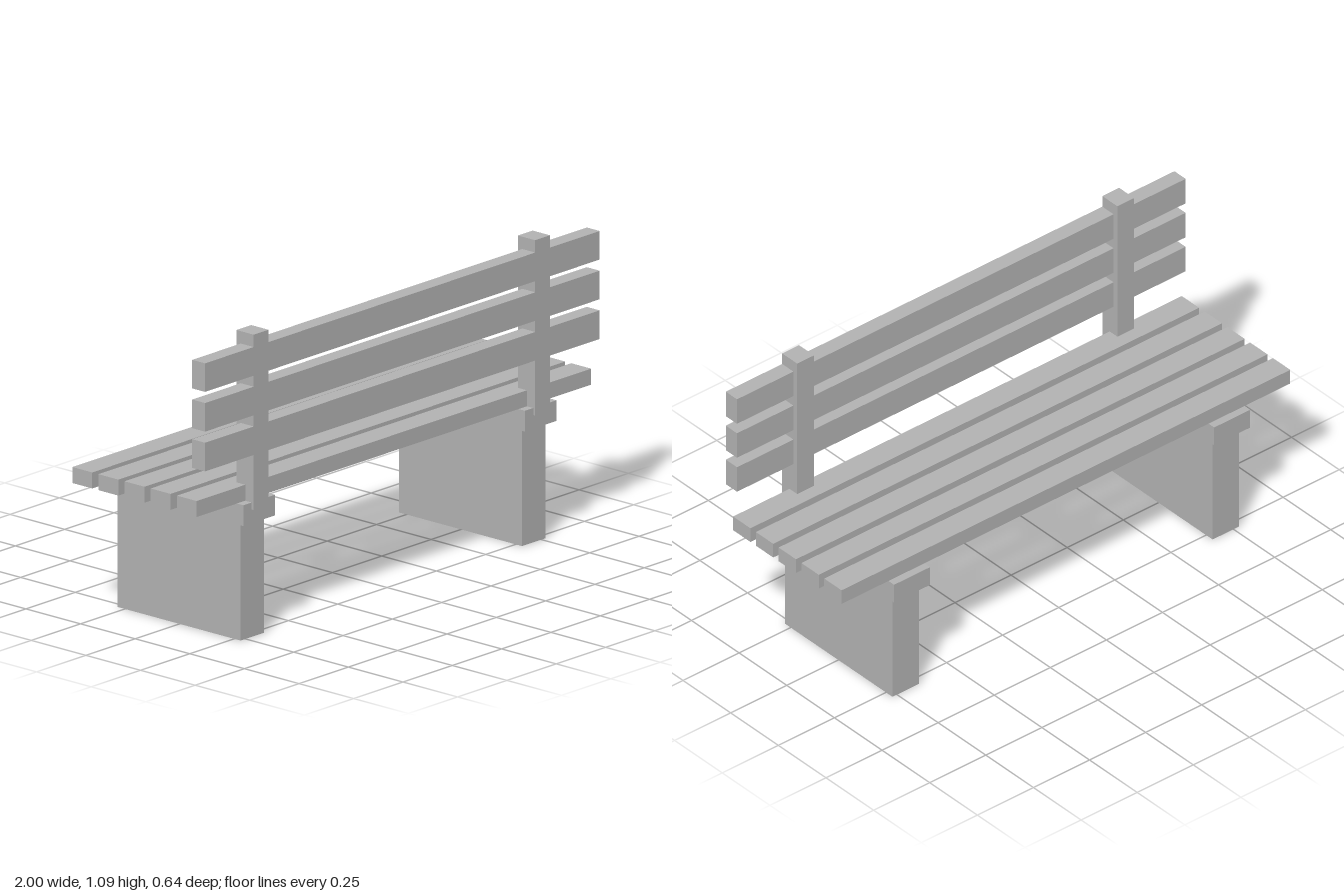
import * as THREE from 'three';

export function createModel() {
  const bench = new THREE.Group();
  bench.name = 'bench';
  const grey = new THREE.MeshStandardMaterial({ color: 0xb2b2b2 });
  grey.name = 'plain grey';

  // Adds a box given its extents along each axis
  function box(name, [x0, x1], [y0, y1], [z0, z1], parent = bench) {
    const mesh = new THREE.Mesh(new THREE.BoxGeometry(x1 - x0, y1 - y0, z1 - z0), grey);
    mesh.position.set((x0 + x1) / 2, (y0 + y1) / 2, (z0 + z1) / 2);
    mesh.name = name;
    parent.add(mesh);
  }

  // Two supports: slab leg rising through a wider cap, and a backrest post
  for (const [side, x] of [['right', -0.716], ['left', 0.711]]) {
    const support = new THREE.Group();
    support.name = side + 'Support';
    const span = (w) => [x - w / 2, x + w / 2];
    box('leg', span(0.118), [0, 0.51], [-0.284, 0.279], support);
    box('legCap', span(0.16), [0.42, 0.494], [-0.317, 0.311], support);
    box('backPost', span(0.075), [0.469, 1.094], [0.241, 0.32], support);
    bench.add(support);
  }

  // Seat slats
  for (let i = 0; i < 5; i++) {
    const z = -0.242 + i * 0.1195;
    box('seatSlat' + (i + 1), [-1, 1], [0.494, 0.551], [z - 0.0455, z + 0.0455]);
  }

  // Backrest slats, flush with the outer face of the posts
  for (let i = 0; i < 3; i++) {
    const y = 0.716 + i * 0.1415;
    box('backSlat' + (i + 1), [-1, 1], [y - 0.051, y + 0.051], [0.261, 0.32]);
  }
  return bench;
}
